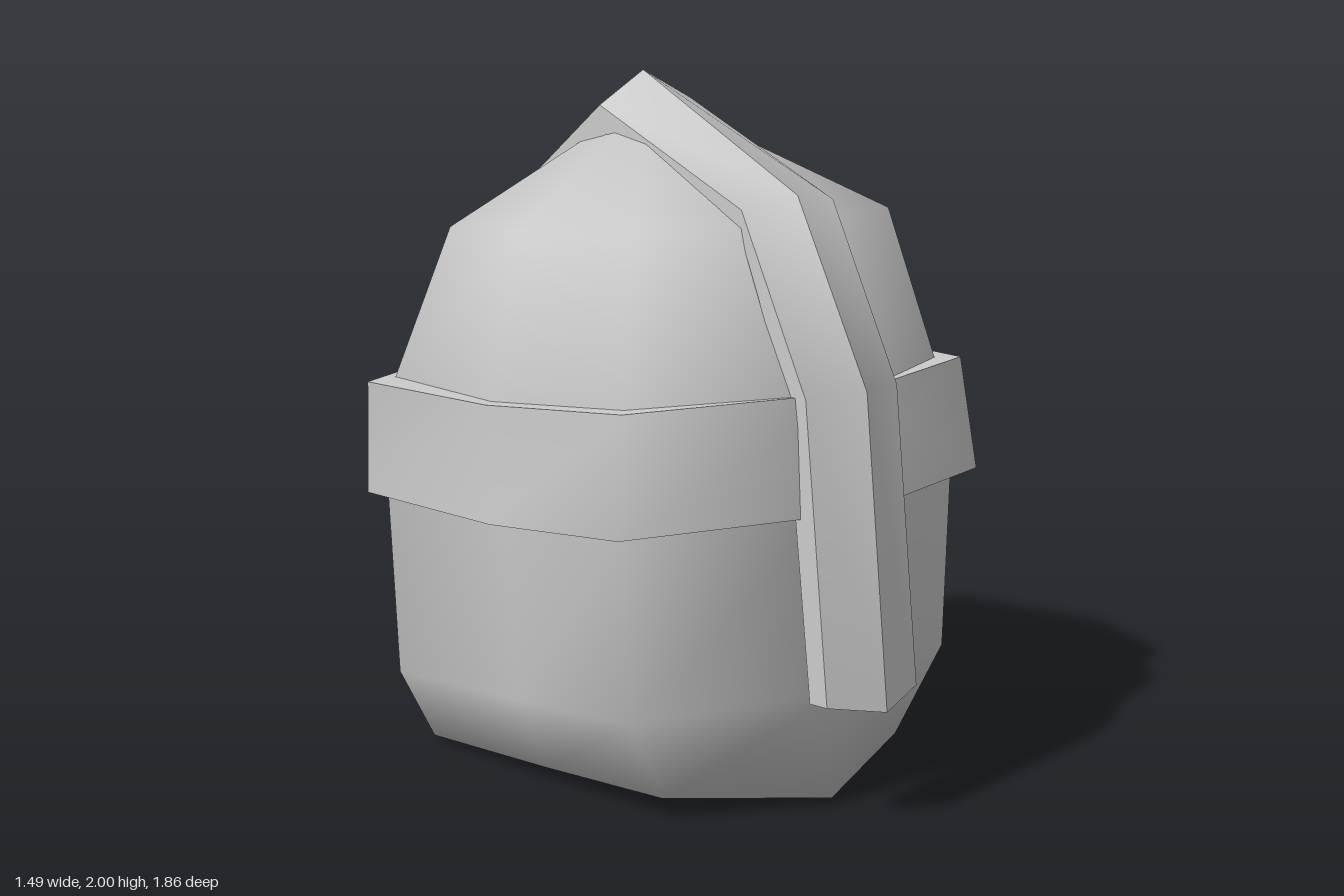
import * as THREE from 'three';
import { mergeGeometries, mergeVertices } from 'three/addons/utils/BufferGeometryUtils.js';

const material = new THREE.MeshStandardMaterial({ color: 0xcccccc, side: THREE.DoubleSide });

// Smooth surface through rows of [x, y, z] points; closed rows split their quads symmetrically
function loft(rows, closed = false) {
  const n = rows[0].length, index = [];
  for (let i = 0; i < rows.length - 1; i++) {
    for (let j = 0; j < (closed ? n : n - 1); j++) {
      const k = (j + 1) % n;
      const a = i * n + j, b = i * n + k, c = (i + 1) * n + k, d = (i + 1) * n + j;
      if (closed && j < n / 2) index.push(a, b, d, b, c, d);
      else index.push(a, b, c, a, c, d);
    }
  }
  let geo = new THREE.BufferGeometry();
  geo.setAttribute('position', new THREE.Float32BufferAttribute(rows.flat(2), 3));
  geo.setIndex(index);
  geo = mergeVertices(geo);
  geo.computeVertexNormals();
  return geo;
}

// Half outline from front centre to back centre, mirrored to a full ring
function ring(half) {
  return [...half, ...half.slice(1, -1).reverse().map(([x, y, z]) => [-x, y, z])];
}

// Ring whose height falls toward the back
const tilted = (y, half) => ring(half.map(([x, z]) => [x, y + z * 0.078, z]));
const point = (p) => Array(8).fill(p);

function mesh(name, strips) {
  const m = new THREE.Mesh(mergeGeometries(strips), material);
  m.name = name;
  return m;
}

function helmetShell() {
  const base = ring([[0, 0.025, 0.71], [0.44, 0.065, 0.5], [0.51, 0.045, 0.05], [0.565, 0.022, -0.44], [0, 0.005, -0.71]]);
  const jaw = ring([[0, 0.34, 0.73], [0.585, 0.32, 0.54], [0.61, 0.27, 0.05], [0.605, 0.2, -0.56], [0, 0.2, -0.8]]);
  const brow = tilted(0.83, [[0, 0.73], [0.6, 0.545], [0.65, 0.06], [0.615, -0.59], [0, -0.825]]);
  const temple = tilted(1.14, [[0, 0.8], [0.57, 0.5], [0.69, 0.06], [0.58, -0.59], [0, -0.88]]);
  const shoulder = ring([[0, 1.635, 0.55], [0.46, 1.62, 0.41], [0.58, 1.605, 0.04], [0.47, 1.55, -0.45], [0, 1.52, -0.66]]);
  return mesh('helmetShell', [
    loft([point([0, 0.02, 0]), base, jaw, brow, temple, shoulder, point([0, 1.93, -0.1])], true),
  ]);
}

function browBand() {
  const innerHalf = [[0, 0.78], [0.56, 0.49], [0.68, 0.06], [0.575, -0.58], [0.29, -0.73], [0, -0.86]];
  const lowHalf = [[0, 0.81], [0.66, 0.59], [0.743, 0.12], [0.69, -0.58], [0.37, -0.78], [0, -0.92]];
  const highHalf = [[0, 0.79], [0.62, 0.555], [0.735, 0.1], [0.685, -0.575], [0.37, -0.76], [0, -0.93]];
  const innerLow = tilted(0.808, innerHalf.map(([x, z]) => [x * 0.94, z * 0.91]));
  const low = tilted(0.81, lowHalf), high = tilted(1.143, highHalf);
  const innerHigh = tilted(1.143, innerHalf);
  return mesh('browBand', [
    loft([low, high], true),
    loft([high, innerHigh], true),
    loft([innerLow, low], true),
  ]);
}

// Ridged strip from the nose guard, over the crown, to the back of the band
function crest() {
  const w = 0.166;
  const line = (x, yz) => yz.map(([y, z]) => [x, y, z]);
  const ridge = [[0.335, 0.93], [1.21, 0.83], [1.71, 0.54], [2.0, -0.14], [1.56, -0.73], [1.07, -0.89], [1.03, -0.895]];
  const edge = [[0.365, 0.87], [1.2, 0.77], [1.68, 0.5], [1.91, -0.13], [1.53, -0.66], [1.07, -0.825], [1.03, -0.825]];
  const under = [[0.36, 0.8], [1.2, 0.69], [1.625, 0.49], [1.83, -0.1], [1.51, -0.6], [1.07, -0.78], [1.03, -0.78]];
  const rows = [line(w, under), line(w, edge), line(0, ridge), line(-w, edge), line(-w, under), line(w, under)];
  const strips = rows.slice(1).map((row, i) => loft([rows[i], row]));
  // Lower end of the nose guard
  strips.push(loft([[rows[1][0], rows[2][0], rows[3][0]], [rows[0][0], [0, 0.335, 0.8], rows[4][0]]]));
  return mesh('crestAndNoseGuard', strips);
}

export function createModel() {
  const group = new THREE.Group();
  group.name = 'helmet';
  group.add(helmetShell(), browBand(), crest());
  return group;
}
